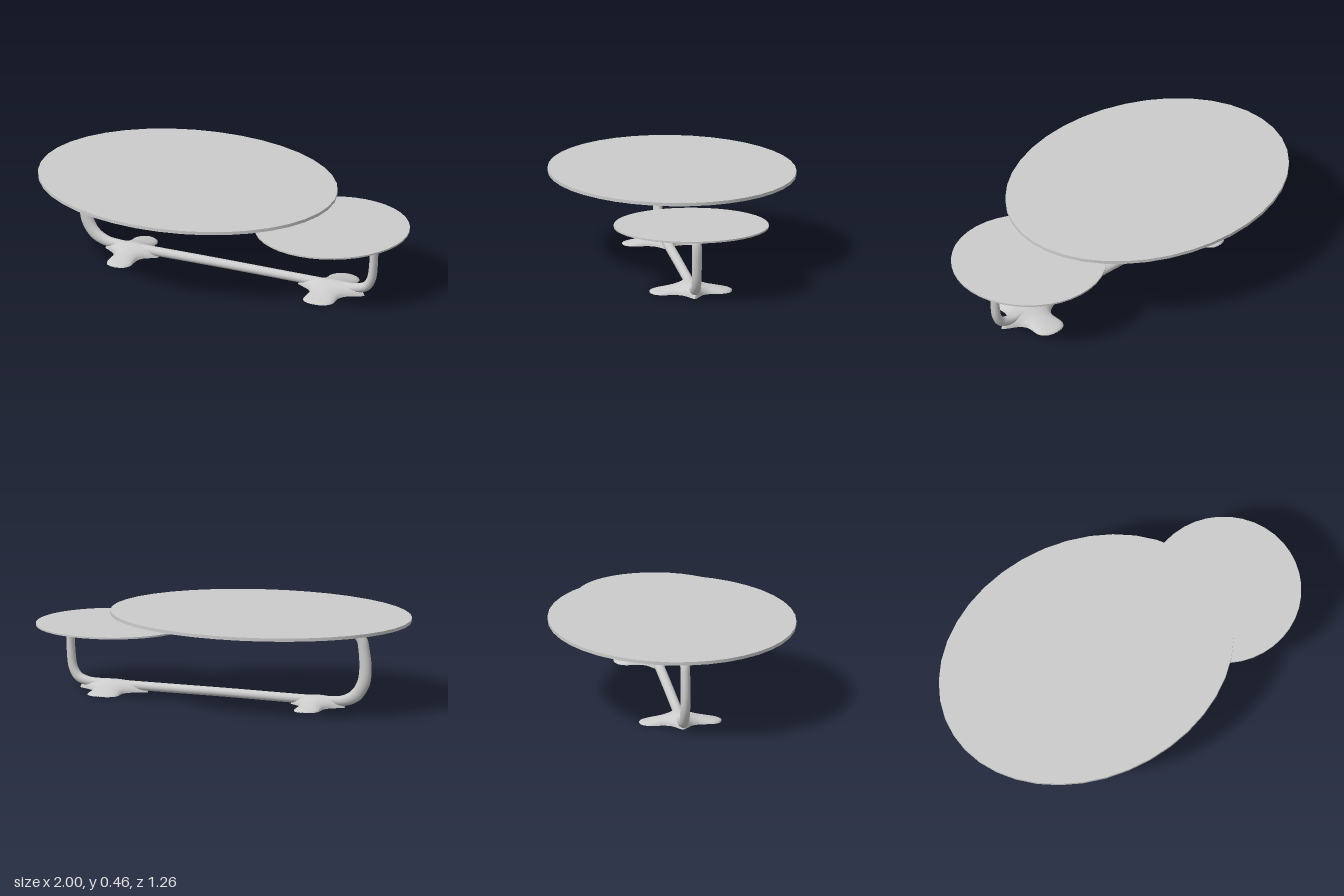
import * as THREE from 'three';
import { toCreasedNormals } from 'three/addons/utils/BufferGeometryUtils.js';

const material = new THREE.MeshStandardMaterial({ color: 0xcccccc });

// Skins a list of closed rings (each counter-clockwise about the direction of travel).
function loft(rings) {
  const n = rings[0].length;
  const positions = [], index = [];
  rings.forEach(ring => ring.forEach(p => positions.push(p.x, p.y, p.z)));
  for (let i = 0; i < rings.length - 1; i++) {
    for (let j = 0; j < n; j++) {
      const a = i * n + j, b = i * n + (j + 1) % n;
      index.push(a, b, a + n, b, b + n, a + n);
    }
  }
  const geometry = new THREE.BufferGeometry();
  geometry.setAttribute('position', new THREE.Float32BufferAttribute(positions, 3));
  geometry.setIndex(index);
  geometry.computeVertexNormals();
  return geometry;
}

const smoothCurve = points => new THREE.CatmullRomCurve3(points, false, 'centripetal');

// Stations are [x, y, half thickness, half width in z].
function frameGeometry(stations) {
  const path = smoothCurve(stations.map(s => new THREE.Vector3(s[0], s[1], 0)));
  const steps = (stations.length - 1) * 6, sides = 20;
  const rings = [];
  for (let i = 0; i <= steps; i++) {
    const t = i / steps;
    const c = path.getPoint(t), d = path.getTangent(t);
    const k = Math.min(Math.floor(i / 6), stations.length - 2);
    const f = i / 6 - k;
    const thick = THREE.MathUtils.lerp(stations[k][2], stations[k + 1][2], f);
    const wide = THREE.MathUtils.lerp(stations[k][3], stations[k + 1][3], f);
    const ring = [];
    for (let j = 0; j < sides; j++) {
      const a = j / sides * Math.PI * 2, u = thick * Math.cos(a);
      ring.push(new THREE.Vector3(c.x - d.y * u, c.y + d.x * u, wide * Math.sin(a)));
    }
    rings.push(ring);
  }
  return loft(rings);
}

// Winged foot: flat below, domed above, flaring into the rail. Profile is [z, half width, height].
function footGeometry(scale) {
  const half = [
    [0, 0.15, 0.057], [0.025, 0.12, 0.052], [0.05, 0.085, 0.045], [0.085, 0.067, 0.036],
    [0.125, 0.066, 0.027], [0.16, 0.066, 0.019], [0.188, 0.054, 0.013], [0.204, 0.034, 0.009], [0.212, 0.001, 0.006],
  ];
  const profile = [...half.slice(1).reverse().map(([z, w, h]) => [-z, w, h]), ...half];
  const curve = smoothCurve(profile.map(p => new THREE.Vector3(p[1] * scale, p[2], p[0])));
  const rings = curve.getPoints(64).map(p => {
    const ring = [];
    for (let j = 0; j < 24; j++) {
      const a = j / 24 * Math.PI * 2;
      ring.push(new THREE.Vector3(p.x * Math.cos(a), p.y * Math.max(0, Math.sin(a)), p.z));
    }
    return ring;
  });
  return toCreasedNormals(loft(rings), 0.9);
}

export function createModel() {
  const group = new THREE.Group();
  const add = (name, geometry, x = 0, y = 0, z = 0) => {
    const mesh = new THREE.Mesh(geometry, material);
    mesh.name = name;
    mesh.position.set(x, y, z);
    group.add(mesh);
    return mesh;
  };

  // Oval main top and lower round side top
  const mainTop = add('mainTop', new THREE.CylinderGeometry(1, 1, 0.017, 40), -0.21, 0.4465, 0);
  mainTop.scale.set(0.79, 1, 0.632);
  add('sideTop', new THREE.CylinderGeometry(0.396, 0.396, 0.009, 40), 0.604, 0.342, 0.003);

  // One continuous tube: paddle arm, post, rail, post, paddle arm
  add('frame', frameGeometry([
    [-0.19, 0.435, 0.001, 0.002], [-0.205, 0.434, 0.003, 0.028], [-0.25, 0.432, 0.006, 0.053],
    [-0.34, 0.428, 0.009, 0.07], [-0.46, 0.421, 0.015, 0.064], [-0.58, 0.411, 0.021, 0.048],
    [-0.68, 0.401, 0.025, 0.033], [-0.735, 0.39, 0.028, 0.026], [-0.763, 0.362, 0.028, 0.025],
    [-0.775, 0.31, 0.029, 0.025], [-0.783, 0.2, 0.033, 0.025], [-0.77, 0.13, 0.034, 0.025],
    [-0.73, 0.07, 0.033, 0.025], [-0.67, 0.039, 0.028, 0.025], [-0.6, 0.032, 0.024, 0.025],
    [0, 0.032, 0.023, 0.025], [0.66, 0.032, 0.023, 0.025], [0.74, 0.035, 0.024, 0.025],
    [0.795, 0.055, 0.025, 0.025], [0.824, 0.1, 0.023, 0.025], [0.836, 0.18, 0.022, 0.025],
    [0.837, 0.275, 0.021, 0.025], [0.828, 0.302, 0.021, 0.025], [0.8, 0.315, 0.018, 0.028],
    [0.72, 0.321, 0.015, 0.045], [0.6, 0.327, 0.012, 0.075], [0.45, 0.333, 0.008, 0.105],
    [0.33, 0.336, 0.005, 0.11], [0.25, 0.338, 0.003, 0.08], [0.215, 0.339, 0.002, 0.04],
    [0.205, 0.339, 0.001, 0.002],
  ]), 0, 0, 0.003);

  // Feet across the rail
  add('leftFoot', footGeometry(1.25), 0.6, 0, 0.006);
  add('rightFoot', footGeometry(1), -0.52, 0, 0.006);

  return group;
}
